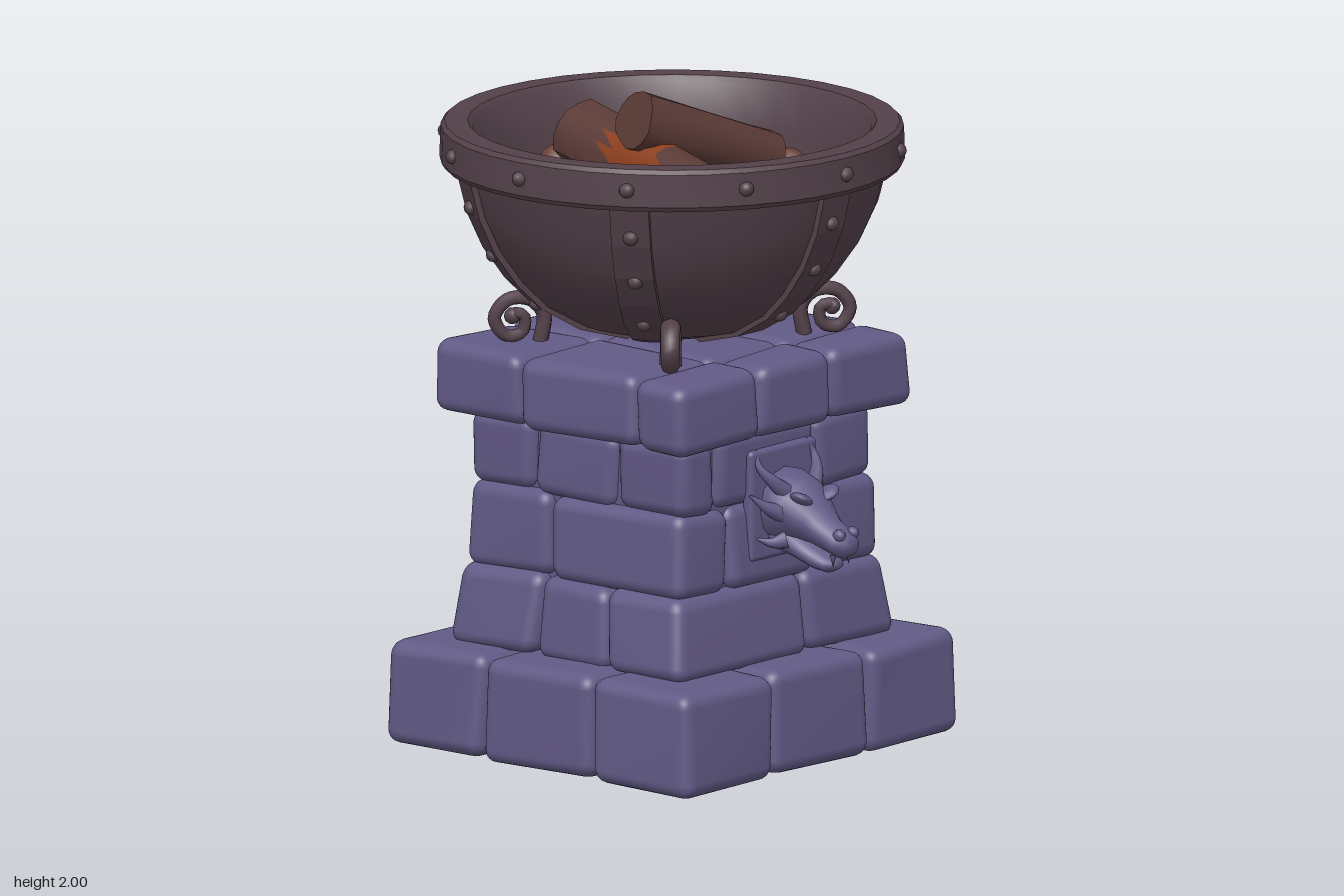
import * as THREE from 'three';
import { mergeVertices, toCreasedNormals } from 'three/addons/utils/BufferGeometryUtils.js';
import { RoundedBoxGeometry } from 'three/addons/geometries/RoundedBoxGeometry.js';

const material = (name, color, side = THREE.FrontSide) => {
  const m = new THREE.MeshStandardMaterial({ color, side });
  m.name = name;
  return m;
};
const V = (x, y, z) => new THREE.Vector3(x, y, z);

// Small repeatable number in -1..1
const jitter = (n) => { const s = Math.sin(n * 127.1 + 3.7) * 43758.5453; return 2 * (s - Math.floor(s)) - 1; };

export function createModel() {
  const stone = material('slate stone', 0x625a86);
  const iron = material('dark iron', 0x54414a);
  const coal = material('burnt coal', 0x6a4239);
  const wood = material('charred wood', 0x5a3a36);
  const scorch = material('scorched wood', 0x8c3f1e);
  const lava = material('yellow lava', 0xdda612);
  const orange = material('orange glow', 0xdd6e12);
  const ember = material('deep ember', 0xb24a18);

  const root = new THREE.Group();
  root.name = 'brazier';
  const group = (name, parent = root) => {
    const g = new THREE.Group();
    g.name = name;
    parent.add(g);
    return g;
  };
  const add = (parent, name, geometry, mat, x = 0, y = 0, z = 0) => {
    const m = new THREE.Mesh(geometry, mat);
    m.name = name;
    m.position.set(x, y, z);
    parent.add(m);
    return m;
  };

  // One worn block between two corners, narrowing towards the top
  let seed = 0;
  const block = (parent, [x0, x1], [y0, y1], [z0, z1], taper) => {
    let g = new RoundedBoxGeometry(x1 - x0, y1 - y0, z1 - z0, 3, 0.045);
    g.deleteAttribute('normal');
    g.deleteAttribute('uv');
    g = mergeVertices(g, 1e-4);
    const s = seed++, p = g.attributes.position, grow = 1 + 0.012 * jitter(s);
    for (let i = 0; i < p.count; i++) {
      const y = p.getY(i) + (y0 + y1) / 2;
      const t = 1 - taper * (y - y0) / (y1 - y0);
      const x = (p.getX(i) * grow + (x0 + x1) / 2) * t;
      const z = (p.getZ(i) * grow + (z0 + z1) / 2) * t;
      p.setXYZ(i, x + 0.006 * Math.sin(11 * y + 7 * z + s), Math.max(0, y + 0.005 * Math.sin(13 * x + 9 * z + s)),
        z + 0.006 * Math.sin(12 * x + 9 * y + s));
    }
    g.computeVertexNormals();
    add(parent, 'stoneBlock', g, stone);
  };

  // Courses of masonry: height range, edges of the blocks in x and z, taper
  const pedestal = group('pedestal');
  const courses = [
    [[0, 0.32], [-0.63, -0.22, 0.22, 0.63], [-0.61, -0.22, 0.22, 0.61], 0.01],
    [[0.31, 0.56], [-0.5, 0.1, 0.5], [-0.47, -0.13, 0.16, 0.47], 0.06],
    [[0.55, 0.81], [-0.46, -0.23, 0.16, 0.46], [-0.44, -0.1, 0.44], 0.03],
    [[0.8, 1.03], [-0.44, -0.28, 0.17, 0.44], [-0.43, -0.17, 0.15, 0.43], 0],
    [[1.02, 1.24], [-0.53, -0.17, 0.16, 0.53], [-0.51, -0.15, 0.31, 0.51], 0.01],
  ];
  for (const [ys, xs, zs, taper] of courses)
    for (let i = 0; i + 1 < xs.length; i++)
      for (let k = 0; k + 1 < zs.length; k++)
        block(pedestal, [xs[i], xs[i + 1]], ys, [zs[k], zs[k + 1]], taper);
  add(pedestal, 'pedestalCore', new THREE.BoxGeometry(0.82, 1.14, 0.8), stone, 0, 0.62, 0);

  // Closed skin over oval sections [z, y, halfWidth, halfHeight], back to front
  const loft = (sections, n = 12) => {
    const pos = [], idx = [];
    for (const [z, y, w, h] of sections)
      for (let j = 0; j < n; j++) {
        const a = j / n * Math.PI * 2;
        pos.push(Math.cos(a) * w, y + Math.sin(a) * h, z);
      }
    for (let i = 0; i + 1 < sections.length; i++)
      for (let j = 0; j < n; j++) {
        const a = i * n + j, b = i * n + (j + 1) % n;
        idx.push(a, b, a + n, b, b + n, a + n);
      }
    const [z, y] = sections.at(-1), last = (sections.length - 1) * n;
    pos.push(0, y, z + 0.008);
    for (let j = 0; j < n; j++) idx.push(pos.length / 3 - 1, last + j, last + (j + 1) % n);
    const g = new THREE.BufferGeometry();
    g.setAttribute('position', new THREE.Float32BufferAttribute(pos, 3));
    g.setIndex(idx);
    g.computeVertexNormals();
    return g;
  };

  // Tube along points, its radius running from r0 to r1
  const taperedTube = (points, r0, r1, segs = 14, sides = 8) => {
    const curve = new THREE.CatmullRomCurve3(points);
    const g = new THREE.TubeGeometry(curve, segs, 1, sides), p = g.attributes.position, v = V(0, 0, 0);
    for (let i = 0; i < p.count; i++) {
      const t = Math.floor(i / (sides + 1)) / segs, c = curve.getPointAt(t);
      v.fromBufferAttribute(p, i).sub(c).multiplyScalar(r0 + (r1 - r0) * t).add(c);
      p.setXYZ(i, v.x, v.y, v.z);
    }
    return g;
  };

  // Horned beast heads on the front and back
  for (const turn of [0, Math.PI]) {
    const head = group('beastHead');
    head.rotation.y = turn;
    add(head, 'wallPlate', new RoundedBoxGeometry(0.3, 0.34, 0.04, 2, 0.015), stone, 0, 0.8, 0.43);
    add(head, 'skull', loft([[0.4, 0.78, 0.1, 0.12], [0.47, 0.79, 0.115, 0.115], [0.54, 0.785, 0.105, 0.09],
      [0.59, 0.755, 0.075, 0.07], [0.64, 0.72, 0.056, 0.052], [0.69, 0.7, 0.056, 0.045], [0.715, 0.695, 0.038, 0.028]]), stone);
    add(head, 'lowerJaw', loft([[0.43, 0.71, 0.075, 0.055], [0.52, 0.685, 0.075, 0.05], [0.59, 0.645, 0.055, 0.035],
      [0.64, 0.63, 0.045, 0.025], [0.66, 0.63, 0.03, 0.015]]), stone);
    for (const s of [-1, 1]) {
      add(head, 'horn', taperedTube([V(s * 0.06, 0.84, 0.51), V(s * 0.1, 0.88, 0.49), V(s * 0.125, 0.92, 0.46),
        V(s * 0.115, 0.97, 0.435)], 0.03, 0.003), stone);
      add(head, 'cheekSpike', taperedTube([V(s * 0.08, 0.78, 0.52), V(s * 0.12, 0.8, 0.49), V(s * 0.16, 0.84, 0.45)], 0.032, 0.003), stone);
      add(head, 'jawSpike', taperedTube([V(s * 0.07, 0.7, 0.52), V(s * 0.1, 0.69, 0.49), V(s * 0.125, 0.7, 0.45)], 0.028, 0.003), stone);
      const brow = add(head, 'brow', new THREE.SphereGeometry(1, 10, 8), stone, s * 0.06, 0.83, 0.57);
      brow.scale.set(0.04, 0.016, 0.035);
      brow.rotation.z = s * 0.5;
      add(head, 'nostril', new THREE.SphereGeometry(0.02, 8, 6), stone, s * 0.03, 0.73, 0.695);
      add(head, 'fang', new THREE.ConeGeometry(0.011, 0.04, 6).rotateX(Math.PI), stone, s * 0.035, 0.65, 0.675);
    }
  }

  // Bowl with a thick rim and an open inside
  const bowl = group('bowl');
  const profile = [[0.001, 1.25], [0.15, 1.26], [0.3, 1.3], [0.42, 1.37], [0.5, 1.45], [0.57, 1.55], [0.62, 1.66], [0.65, 1.78]];
  const rim = [[0.69, 1.775], [0.7, 1.79], [0.697, 1.89], [0.685, 1.903], [0.615, 1.903], [0.6, 1.885], [0.575, 1.77], [0.55, 1.62]];
  const lathe = new THREE.LatheGeometry([...profile, ...rim].map(([r, y]) => new THREE.Vector2(r, y)), 36);
  add(bowl, 'bowlShell', toCreasedNormals(lathe, 0.6), iron);

  // Six riveted straps following the bowl, twelve rivets round the rim
  const strapShape = new THREE.Shape([
    ...profile.slice(1).map(([r, y]) => new THREE.Vector2(r + 0.012, y - 0.008)),
    ...profile.slice(1).reverse().map(([r, y]) => new THREE.Vector2(r - 0.02, y + 0.01)),
  ]);
  const strapGeo = new THREE.ExtrudeGeometry(strapShape, { depth: 0.12, bevelEnabled: false }).translate(0, 0, -0.06);
  const rivetGeo = new THREE.IcosahedronGeometry(0.024, 1);
  for (let i = 0; i < 12; i++) {
    const spoke = group('rimSpoke', bowl);
    spoke.rotation.y = Math.PI / 2 + i * Math.PI / 6;
    add(spoke, 'rimRivet', rivetGeo, iron, 0.695, 1.84, 0);
    if (i % 2) continue;
    add(spoke, 'strap', strapGeo, iron);
    for (const [r, y] of [[0.43, 1.37], [0.567, 1.53], [0.637, 1.68]]) add(spoke, 'strapRivet', rivetGeo, iron, r, y, 0);
  }

  // Four scrolled feet at the corners
  const footGeo = taperedTube([[0.4, 1.235], [0.39, 1.32], [0.43, 1.365], [0.5, 1.365], [0.54, 1.31], [0.505, 1.255],
    [0.455, 1.265], [0.45, 1.315], [0.485, 1.325]].map(([r, y]) => V(r, y, 0)), 0.024, 0.018, 36);
  for (const a of [0.71, -0.71, Math.PI + 0.71, Math.PI - 0.71]) {
    const foot = add(bowl, 'scrollFoot', footGeo, iron);
    foot.scale.z = 1.4;
    foot.rotation.y = a;
    const eye = add(bowl, 'scrollEye', new THREE.SphereGeometry(0.026, 8, 6), iron, 0.485 * Math.cos(a), 1.315, -0.485 * Math.sin(a));
    eye.rotation.y = a;
  }

  // Molten bed, cooling towards the wall
  const fire = group('fire');
  const LAVA = 1.68;
  const flat = (g) => g.rotateX(-Math.PI / 2);
  add(fire, 'lavaBed', flat(new THREE.CircleGeometry(0.5, 36)), lava, 0, LAVA, 0);
  add(fire, 'orangeRing', flat(new THREE.RingGeometry(0.46, 0.53, 36)), orange, 0, LAVA + 0.002, 0);
  add(fire, 'emberRing', flat(new THREE.RingGeometry(0.5, 0.57, 36)), ember, 0, LAVA + 0.012, 0);

  // Coals: dark crown, ember band, orange foot and a glow on the lava
  const coals = [[0.26, -0.24, 0.065], [-0.33, -0.05, 0.065], [0.14, 0.19, 0.065], [0.05, 0.28, 0.045], [-0.26, 0.25, 0.055],
    [-0.19, -0.29, 0.05], [0.1, -0.36, 0.065], [0.4, -0.05, 0.035], [-0.28, -0.17, 0.04]];
  const inner = coals.length;
  for (let i = 0; i < 19; i++) {
    const a = i / 19 * Math.PI * 2 + 0.04, r = 0.485 + 0.015 * jitter(i);
    coals.push([Math.sin(a) * r, -Math.cos(a) * r, 0.064 + 0.008 * jitter(i + 40)]);
  }
  coals.forEach(([x, z, r], i) => {
    const c = group('coal', fire);
    c.position.set(x, LAVA, z);
    c.rotation.y = i * 1.3;
    const crown = i < inner ? 0.65 : 1.0;
    const band = (name, t0, t1, mat) => {
      const g = new THREE.SphereGeometry(r, 8, 3, 0, Math.PI * 2, t0, t1 - t0);
      add(c, name, g.scale(1, 1.15, 0.92), mat);
    };
    band('coalCrown', 0, crown, coal);
    band('coalEmber', crown, 1.3, ember);
    band('coalFoot', 1.3, 1.75, orange);
    add(c, 'coalGlow', flat(new THREE.CircleGeometry(r * 1.4, 9)), orange, 0, 0.003 + i * 0.0002, 0);
  });

  // Two crossed logs, scorched where the rule says so
  const log = (name, a, b, r, isHot) => {
    let g = new THREE.CylinderGeometry(r * 0.95, r, a.distanceTo(b), 14, 8);
    const p = g.attributes.position;
    for (let i = 0; i < p.count; i++) {
      const t = Math.atan2(p.getZ(i), p.getX(i)), k = 1 + 0.05 * Math.sin(3 * t + 5 * p.getY(i)) + 0.03 * Math.sin(5 * t);
      p.setXYZ(i, p.getX(i) * k, p.getY(i), p.getZ(i) * k);
    }
    g.applyQuaternion(new THREE.Quaternion().setFromUnitVectors(V(0, 1, 0), b.clone().sub(a).normalize()));
    const mid = a.clone().add(b).multiplyScalar(0.5);
    g = toCreasedNormals(g.translate(mid.x, mid.y, mid.z), 0.7);
    const cold = [], hot = [], q = g.attributes.position;
    for (let i = 0; i < q.count; i += 3) {
      const y = (q.getY(i) + q.getY(i + 1) + q.getY(i + 2)) / 3, z = (q.getZ(i) + q.getZ(i + 1) + q.getZ(i + 2)) / 3;
      (isHot(y, z) ? hot : cold).push(i, i + 1, i + 2);
    }
    g.setIndex([...cold, ...hot]);
    g.clearGroups();
    g.addGroup(0, cold.length, 0);
    g.addGroup(cold.length, hot.length, 1);
    add(fire, name, g, [wood, scorch]);
  };
  log('lowerLog', V(0, 1.81, -0.37), V(-0.12, 1.71, 0.3), 0.1, (y, z) => y < 1.73 || (z > -0.16 && z < 0.08));
  log('upperLog', V(-0.115, 1.915, -0.05), V(0.35, 1.74, 0.075), 0.09, (y) => y < 1.72);

  return root;
}
